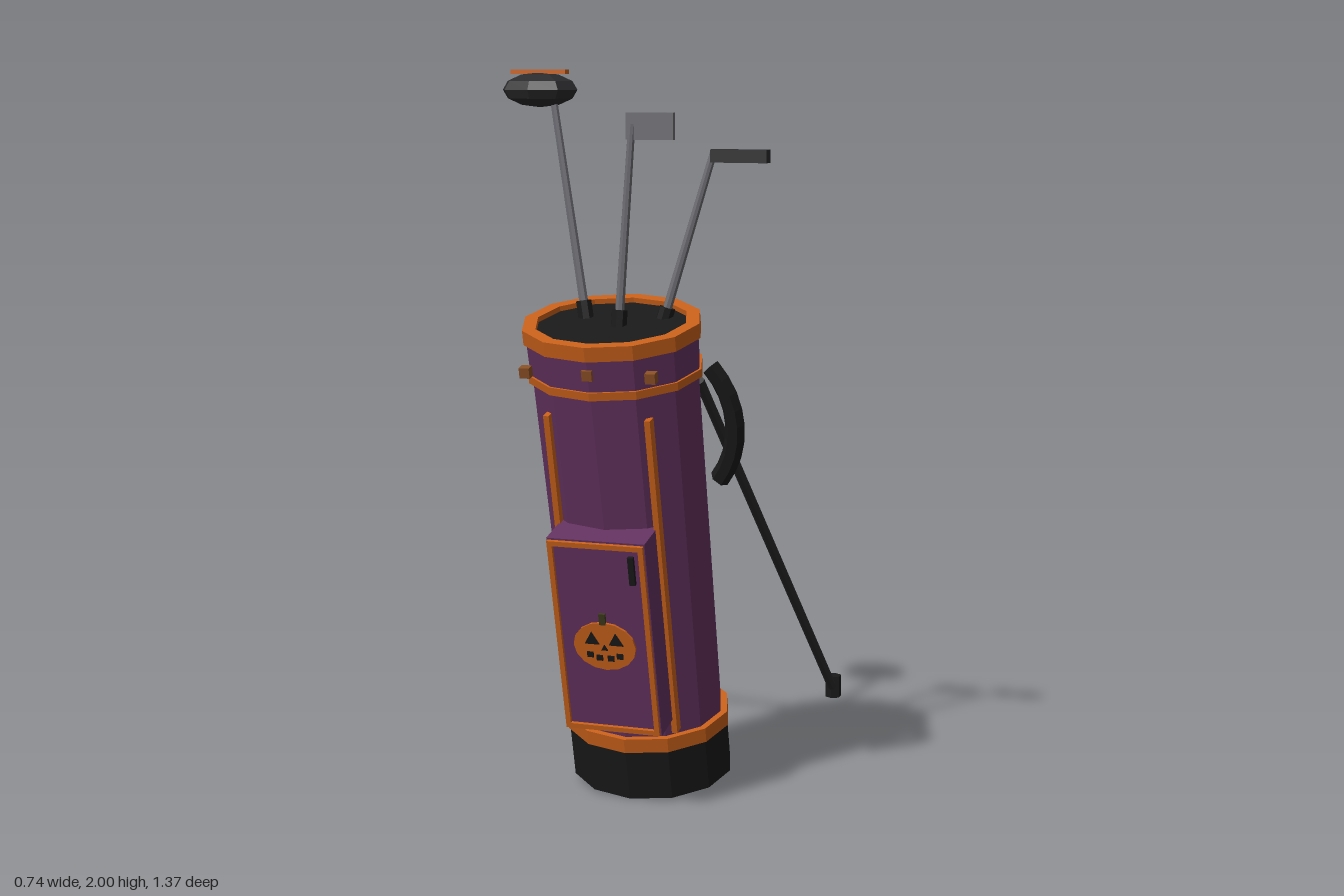
import * as THREE from 'three';

const mat = (color, side = THREE.FrontSide) =>
  new THREE.MeshStandardMaterial({ color, flatShading: true, side });
const purple = mat(0x643260), orange = mat(0xc8601a), black = mat(0x191919, THREE.DoubleSide);
const steel = mat(0x6a6a70), dark = mat(0x2a2a2c), brown = mat(0x8a4f24), stemGreen = mat(0x3c3a1c);

const SIDES = 12;

function add(parent, name, geometry, material, x = 0, y = 0, z = 0) {
  const mesh = new THREE.Mesh(geometry, material);
  mesh.name = name;
  mesh.position.set(x, y, z);
  parent.add(mesh);
  return mesh;
}

const box = (w, h, d) => new THREE.BoxGeometry(w, h, d);

// Tapered rod between two points
function rod(parent, name, a, b, r0, r1, material) {
  const from = new THREE.Vector3(...a), to = new THREE.Vector3(...b);
  const dir = to.clone().sub(from);
  const mesh = add(parent, name, new THREE.CylinderGeometry(r1, r0, dir.length(), 8), material);
  mesh.position.copy(from).addScaledVector(dir, 0.5);
  mesh.quaternion.setFromUnitVectors(new THREE.Vector3(0, 1, 0), dir.normalize());
  return mesh;
}

// Solid hoop with a rectangular section
function hoop(parent, name, inner, outer, y0, y1, material) {
  const p = [[inner, y0], [outer, y0], [outer, y1], [inner, y1], [inner, y0]];
  const geometry = new THREE.LatheGeometry(p.map(([x, y]) => new THREE.Vector2(x, y)), SIDES);
  return add(parent, name, geometry, material);
}

function tube(parent, name, r0, r1, y0, y1, material) {
  const geometry = new THREE.CylinderGeometry(r1, r0, y1 - y0, SIDES);
  return add(parent, name, geometry, material, 0, (y0 + y1) / 2, 0);
}

function buildShell(bag) {
  const shell = new THREE.Group();
  shell.name = 'shell';
  shell.scale.z = 0.855; // oval section
  bag.add(shell);
  tube(shell, 'base', 0.23, 0.23, 0, 0.15, black);
  hoop(shell, 'baseBand', 0.2, 0.235, 0.148, 0.19, orange);
  tube(shell, 'body', 0.216, 0.228, 0.15, 1.2, purple);
  hoop(shell, 'collarBand', 0.2, 0.24, 1.192, 1.214, orange);
  tube(shell, 'collar', 0.233, 0.236, 1.2, 1.31, purple);
  hoop(shell, 'rim', 0.207, 0.244, 1.3, 1.34, orange);
  tube(shell, 'mouth', 0.21, 0.21, 1.3, 1.326, black);
}

function buildPocket(bag) {
  const pocket = new THREE.Group();
  pocket.name = 'frontPocket';
  pocket.position.set(0, 0.536, 0);
  bag.add(pocket);
  add(pocket, 'pocketBox', box(0.274, 0.57, 0.13), purple, 0, 0, 0.196);
  for (const s of [-1, 1]) {
    add(pocket, 'pocketSideTrim', box(0.014, 0.56, 0.016), orange, s * 0.127, 0, 0.263);
    add(pocket, 'pocketEndTrim', box(0.268, 0.014, 0.016), orange, 0, s * 0.273, 0.263);
  }
  add(pocket, 'zipPull', box(0.016, 0.08, 0.016), black, 0.097, 0.208, 0.264);

  // Carved pumpkin ornament
  const pumpkin = new THREE.Group();
  pumpkin.name = 'pumpkin';
  pumpkin.position.set(0, -0.022, 0.264);
  pocket.add(pumpkin);
  const disc = (name, r, n, m, x, y, z) => {
    const mesh = add(pumpkin, name, new THREE.CylinderGeometry(r, r, 0.008, n), m, x, y, z);
    mesh.rotation.x = -Math.PI / 2;
    return mesh;
  };
  disc('pumpkinBody', 0.088, 16, orange, 0, 0, 0).scale.z = 0.8;
  add(pumpkin, 'pumpkinStem', box(0.018, 0.032, 0.01), stemGreen, 0, 0.08, 0);
  disc('pumpkinNose', 0.011, 3, black, 0, -0.005, 0.003);
  for (const s of [-1, 1]) {
    disc('pumpkinEye', 0.024, 3, black, s * 0.034, 0.018, 0.003);
    add(pumpkin, 'pumpkinMouth', box(0.018, 0.016, 0.008), black, s * 0.042, -0.026, 0.003);
    add(pumpkin, 'pumpkinMouth', box(0.018, 0.016, 0.008), black, s * 0.016, -0.034, 0.003);
  }
}

function buildHandle(bag) {
  const R = 0.26, half = 0.66;
  const geometry = new THREE.TorusGeometry(R, 0.027, 6, 8, half * 2);
  geometry.rotateZ(-half);
  add(bag, 'carryHandle', geometry, black, 0.318 - R, 1.058, -0.006);
}

// Stand legs splayed behind the bag
function buildStand(model) {
  for (const s of [-1, 1]) {
    const x = -0.025;
    rod(model, 'standLeg', [x + s * 0.172, 1.17, 0.265], [x + s * 0.312, 0.08, -0.65], 0.014, 0.014, dark);
    add(model, 'standFoot', new THREE.CylinderGeometry(0.025, 0.025, 0.068, 6), black,
      x + s * 0.312, 0.085, -0.658);
  }
}

function buildClubs(model) {
  const clubs = new THREE.Group();
  clubs.name = 'clubs';
  model.add(clubs);
  const shafts = [
    [[-0.118, 1.34, 0.42], [-0.222, 1.93, 0.386]],
    [[-0.007, 1.33, 0.474], [0.021, 1.86, 0.445]],
    [[0.092, 1.34, 0.403], [0.219, 1.785, 0.368]],
  ];
  for (const [a, b] of shafts) {
    rod(clubs, 'clubShaft', a, b, 0.013, 0.01, steel);
    const end = new THREE.Vector3(...a).lerp(new THREE.Vector3(...b), 0.09).toArray();
    rod(clubs, 'shaftSleeve', a, end, 0.022, 0.022, black);
  }
  // Driver
  const head = add(clubs, 'driverHead', new THREE.SphereGeometry(1, 8, 6), dark, -0.262, 1.947, 0.38);
  head.scale.set(0.107, 0.046, 0.087);
  add(clubs, 'driverStripe', box(0.155, 0.012, 0.03), orange, -0.262, 1.994, 0.38);
  // Iron and putter
  add(clubs, 'ironHead', box(0.13, 0.07, 0.016), steel, 0.071, 1.855, 0.443);
  add(clubs, 'putterHead', box(0.154, 0.034, 0.034), dark, 0.291, 1.778, 0.366);
}

export function createModel() {
  const model = new THREE.Group();
  model.name = 'golfBag';

  // Bag leaning forward on its stand
  const bag = new THREE.Group();
  bag.name = 'bag';
  bag.position.set(-0.025, 0.05, 0.16);
  bag.rotation.x = 0.242;
  model.add(bag);

  buildShell(bag);
  buildPocket(bag);
  buildHandle(bag);
  for (const s of [-1, 1])
    add(bag, 'piping', box(0.016, 0.92, 0.03), orange, s * 0.14, 0.67, 0.157);
  for (const s of [-1, 0, 1])
    add(bag, 'stud', box(0.028, 0.028, 0.024), brown, s * 0.172, 1.262, 0.196);

  buildStand(model);
  buildClubs(model);
  return model;
}
